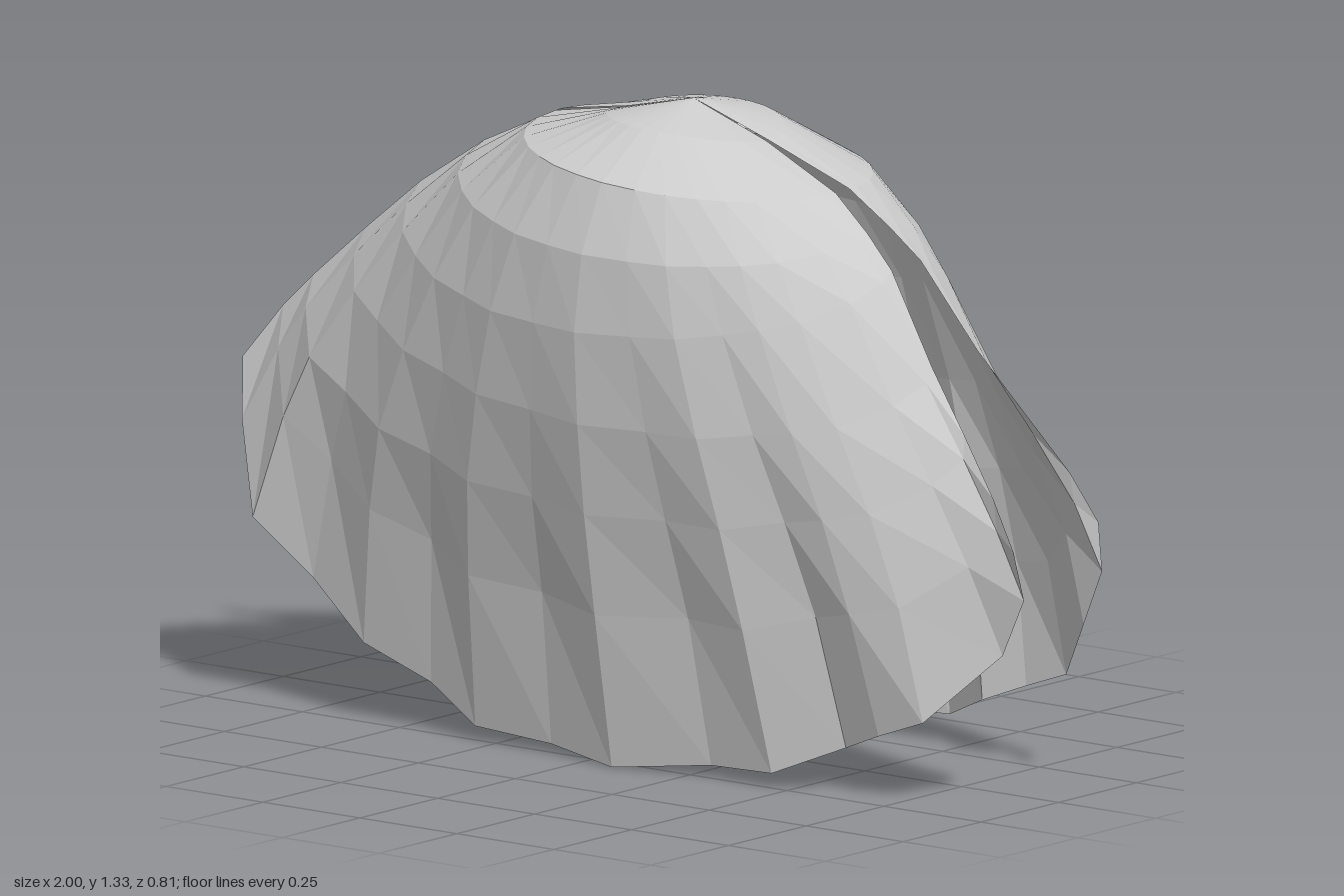
import * as THREE from 'three';

const material = new THREE.MeshStandardMaterial({ color: 0xcccccc, flatShading: true, side: THREE.DoubleSide });

// Growth rings from the beak outwards: right end, left end and crown of each
const rings = [
  [[0.07, 1.33, 0.015], [0.07, 1.33, 0.015], [0.07, 1.33, 0.015]],
  [[0.26, 1.265, 0.015], [-0.1, 1.29, 0.015], [0.07, 1.295, 0.19]],
  [[0.45, 1.185, 0.03], [-0.28, 1.26, 0.02], [0.07, 1.21, 0.33]],
  [[0.54, 1.115, 0.04], [-0.45, 1.18, 0.04], [0.06, 1.07, 0.387]],
  [[0.61, 1.05, 0.05], [-0.6, 1.08, 0.055], [0.05, 0.91, 0.4]],
  [[0.73, 0.87, 0.07], [-0.73, 0.97, 0.07], [0.05, 0.72, 0.388]],
  [[0.83, 0.745, 0.09], [-0.85, 0.86, 0.09], [0.05, 0.53, 0.36]],
  [[0.92, 0.63, 0.11], [-0.92, 0.79, 0.1], [0.06, 0.32, 0.325]],
  [[0.98, 0.53, 0.12], [-1, 0.68, 0.13], [0.08, 0, 0.29]],
];

// Wavy lip of the shell, from right end to left end
const lip = [
  [0.98, 0.53, 0.12], [0.995, 0.43, 0.105], [0.94, 0.31, 0.105], [0.81, 0.17, 0.2],
  [0.7, 0.13, 0.205], [0.6, 0.09, 0.185], [0.46, 0.03, 0.25], [0.3, 0.025, 0.245],
  [0.08, 0, 0.29], [-0.1, 0.02, 0.26], [-0.3, 0.03, 0.255], [-0.43, 0.1, 0.235],
  [-0.6, 0.16, 0.24], [-0.75, 0.27, 0.215], [-0.89, 0.38, 0.235], [-0.97, 0.56, 0.17], [-1, 0.68, 0.13],
];

// Point on a ring: half an ellipse through its two ends and its crown
function arc([right, left, crown], angle) {
  return right.map((r, a) => {
    const mid = (r + left[a]) / 2;
    return mid + (r - left[a]) / 2 * Math.cos(angle) + (crown[a] - mid) * Math.sin(angle);
  });
}

function createValve(name, back) {
  const positions = [], index = [];
  const columns = lip.length, last = rings.length - 1;
  rings.forEach((ring, k) => {
    const s = k / last;
    lip.forEach((edge, j) => {
      // Columns lie between an even spread and the spacing of the lip
      const spread = Math.acos(THREE.MathUtils.clamp((edge[0] + 0.01) / 0.99, -1, 1));
      const angle = (Math.PI * j / (columns - 1) + spread) / 2;
      const base = arc(ring, angle), end = arc(rings[last], angle);
      // Rings take on the shape of the lip as they near it
      let [x, y, z] = base.map((v, a) => v + (edge[a] - end[a]) * s ** 3);
      // Radial ribs
      if (k < last) z += 0.014 * s ** 3 * Math.sin(angle) * (j % 2 ? -1 : 1);
      if (back) {
        // The rear valve meets the front one at the beak, flares wider and ends higher
        const top = THREE.MathUtils.clamp((y - 0.95) / 0.38, 0, 1);
        z = 0.03 * top - z - 0.075 * Math.max(0, 1 - y / 0.95);
        y += 0.03 * (1 - y / 1.33);
      }
      positions.push(x, y, z);
    });
  });
  for (let k = 0; k < last; k++) {
    for (let j = 0; j < columns - 1; j++) {
      const a = k * columns + j, b = a + 1, c = a + columns, d = c + 1;
      const faces = k === 0 ? [[a, d, c]] : [[a, b, c], [b, d, c]];
      for (const [p, q, r] of faces) index.push(...(back ? [p, q, r] : [p, r, q]));
    }
  }
  const geometry = new THREE.BufferGeometry();
  geometry.setAttribute('position', new THREE.Float32BufferAttribute(positions, 3));
  geometry.setIndex(index);
  geometry.computeVertexNormals();
  const mesh = new THREE.Mesh(geometry, material);
  mesh.name = name;
  return mesh;
}

// Thin pointed teeth crossing the gap beside the beak
function createHinge() {
  const hinge = new THREE.Group();
  hinge.name = 'hingeTeeth';
  for (const [x, z] of [[-0.12, -0.06], [-0.11, 0.07], [0.26, -0.065], [0.23, 0.06]]) {
    const start = new THREE.Vector3(0.07 + Math.sign(x) * 0.02, 1.285, 0.015);
    const direction = new THREE.Vector3(x, 1.26, z).sub(start);
    const length = direction.length();
    const tooth = new THREE.Mesh(new THREE.ConeGeometry(0.015, length, 4), material);
    tooth.position.copy(start).addScaledVector(direction, 0.5);
    tooth.quaternion.setFromUnitVectors(new THREE.Vector3(0, 1, 0), direction.normalize());
    tooth.name = 'hingeTooth';
    hinge.add(tooth);
  }
  return hinge;
}

export function createModel() {
  const model = new THREE.Group();
  model.name = 'openClam';
  model.add(createValve('frontValve', false), createValve('backValve', true), createHinge());

  // Pearl resting against the rear valve
  const pearl = new THREE.Mesh(new THREE.SphereGeometry(0.245, 10, 6), material);
  pearl.position.set(0.06, 0.765, -0.13);
  pearl.rotation.x = 0.12;
  pearl.name = 'pearl';
  model.add(pearl);
  return model;
}
